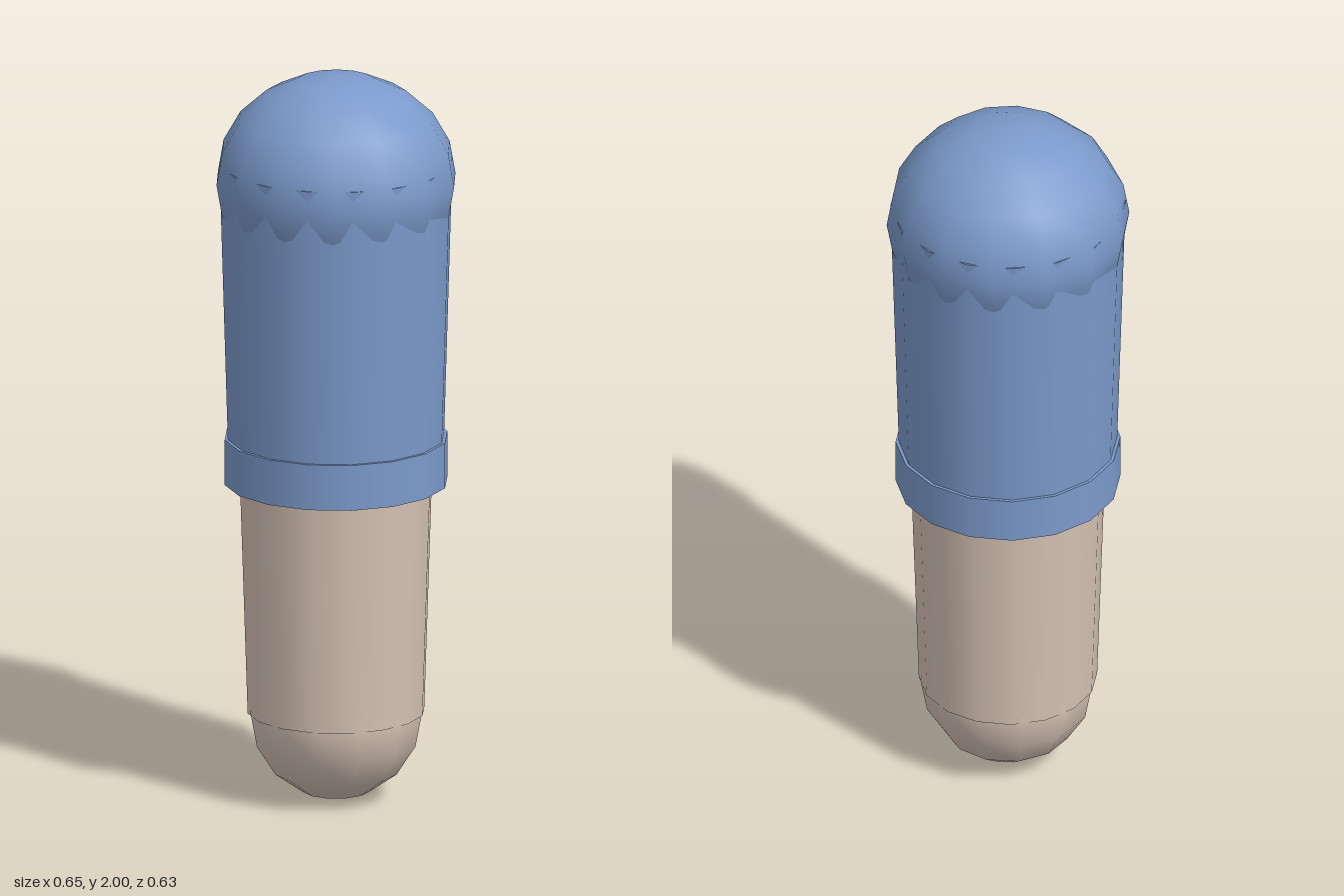
import * as THREE from 'three';

export function createModel() {
  const group = new THREE.Group();
  const blue = new THREE.MeshStandardMaterial({ color: 0x7b9acb });
  blue.name = 'sleeve blue';
  const skin = new THREE.MeshStandardMaterial({ color: 0xd5c2b4 });
  skin.name = 'skin beige';

  const add = (name, geometry, material, y) => {
    const mesh = new THREE.Mesh(geometry, material);
    mesh.name = name;
    mesh.position.y = y;
    group.add(mesh);
    return mesh;
  };
  // Tapered 16-sided tube segment between two heights
  const segment = (name, rTop, rBottom, top, bottom, material) =>
    add(name, new THREE.CylinderGeometry(rTop, rBottom, top - bottom, 16), material, (top + bottom) / 2);
  // Slightly squashed ball
  const ball = (name, r, ry, sides, rings, y, material) =>
    add(name, new THREE.SphereGeometry(r, sides, rings), material, y).scale.set(1, ry / r, 1);

  // Sleeved upper arm
  ball('shoulder', 0.325, 0.29, 14, 10, 1.71, blue);
  segment('sleeve', 0.314, 0.29, 1.76, 0.95, blue);
  segment('cuff', 0.3, 0.3, 1.0, 0.875, blue);

  // Bare forearm and rounded hand
  segment('forearm', 0.26, 0.238, 0.92, 0.24, skin);
  ball('hand', 0.237, 0.25, 12, 8, 0.25, skin);

  return group;
}
